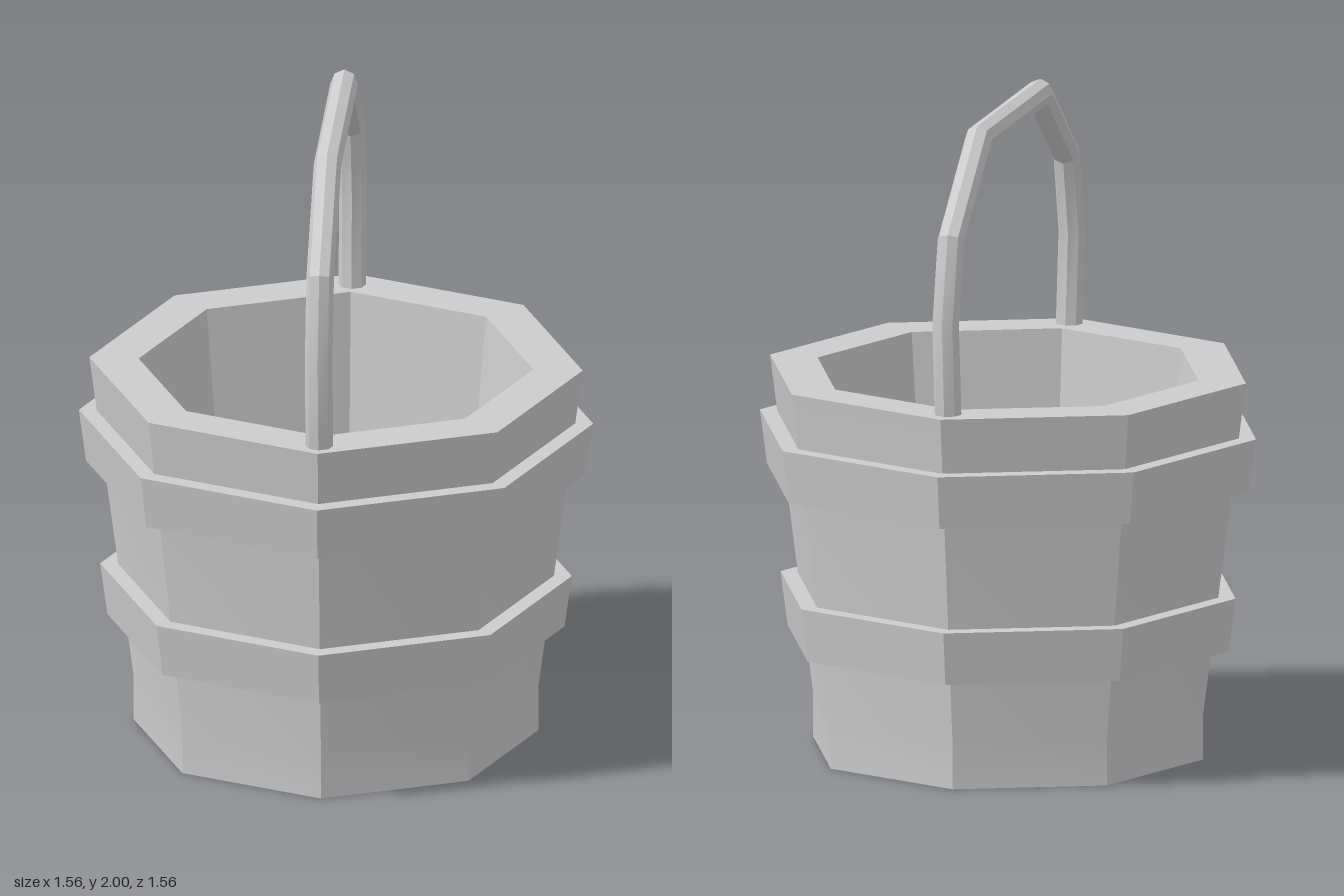
import * as THREE from 'three';
import { toCreasedNormals } from 'three/addons/utils/BufferGeometryUtils.js';

const SIDES = 8;
const CREASE = 0.5;
const material = new THREE.MeshStandardMaterial({ color: 0xcccccc });

function addMesh(group, name, geometry) {
  const mesh = new THREE.Mesh(toCreasedNormals(geometry, CREASE), material);
  mesh.name = name;
  group.add(mesh);
}

// Eight-sided solid from a [radius, height] profile
function octagonal(profile) {
  return new THREE.LatheGeometry(profile.map(([r, y]) => new THREE.Vector2(r, y)), SIDES);
}

// Hoop with a sloped outer face, its inner edge buried in the bucket wall
function hoop(y0, y1, r0, r1) {
  const inner = r0 - 0.1;
  return octagonal([[inner, y0], [r0, y0], [r1, y1], [inner, y1]]);
}

// Mitred tube along a path of [z, y] points
function mitredTube(path, radius, sides) {
  const points = path.map(([z, y]) => new THREE.Vector2(z, y));
  const last = points.length - 1;
  const direction = (i) => points[i + 1].clone().sub(points[i]).normalize();
  const positions = [];
  const index = [];
  points.forEach((p, i) => {
    const before = direction(Math.max(i - 1, 0));
    const after = direction(Math.min(i, last - 1));
    const tangent = before.clone().add(after).normalize();
    const width = radius / tangent.dot(after);
    for (let j = 0; j < sides; j++) {
      const a = (j / sides) * Math.PI * 2;
      const out = Math.cos(a) * width;
      positions.push(Math.sin(a) * radius, p.y + tangent.x * out, p.x - tangent.y * out);
      if (i < last) {
        const k = (j + 1) % sides;
        const a0 = i * sides + j, b0 = i * sides + k;
        index.push(a0, a0 + sides, b0, b0, a0 + sides, b0 + sides);
      }
    }
  });
  const geometry = new THREE.BufferGeometry();
  geometry.setAttribute('position', new THREE.Float32BufferAttribute(positions, 3));
  geometry.setIndex(index);
  // Turn the faces outward if the winding points inward
  const [a, b, c] = index.slice(0, 3).map((n) => new THREE.Vector3().fromArray(positions, n * 3));
  const normal = b.clone().sub(a).cross(c.clone().sub(a));
  const centre = new THREE.Vector3(0, points[0].y, points[0].x);
  if (normal.dot(a.clone().add(b).add(c).divideScalar(3).sub(centre)) < 0) {
    geometry.setIndex(index.slice().reverse());
  }
  return geometry;
}

export function createModel() {
  const group = new THREE.Group();
  group.name = 'bucket';

  // Hollow body: base, outer wall, rim, inner wall, floor
  addMesh(group, 'body', octagonal([
    [0, 0], [0.615, 0], [0.615, 0.14], [0.75, 1.175],
    [0.6, 1.175], [0.49, 0.14], [0, 0.14],
  ]));

  addMesh(group, 'lowerHoop', hoop(0.34, 0.505, 0.695, 0.717));
  addMesh(group, 'upperHoop', hoop(0.838, 1.003, 0.76, 0.782));

  // Carrying handle arching from front to back, its ends sunk into the rim
  addMesh(group, 'handle', mitredTube([
    [0.673, 1.12], [0.708, 1.455], [0.65, 1.707], [0.345, 1.958],
    [-0.327, 1.958], [-0.632, 1.707], [-0.692, 1.455], [-0.66, 1.12],
  ], 0.042, 8));

  return group;
}
